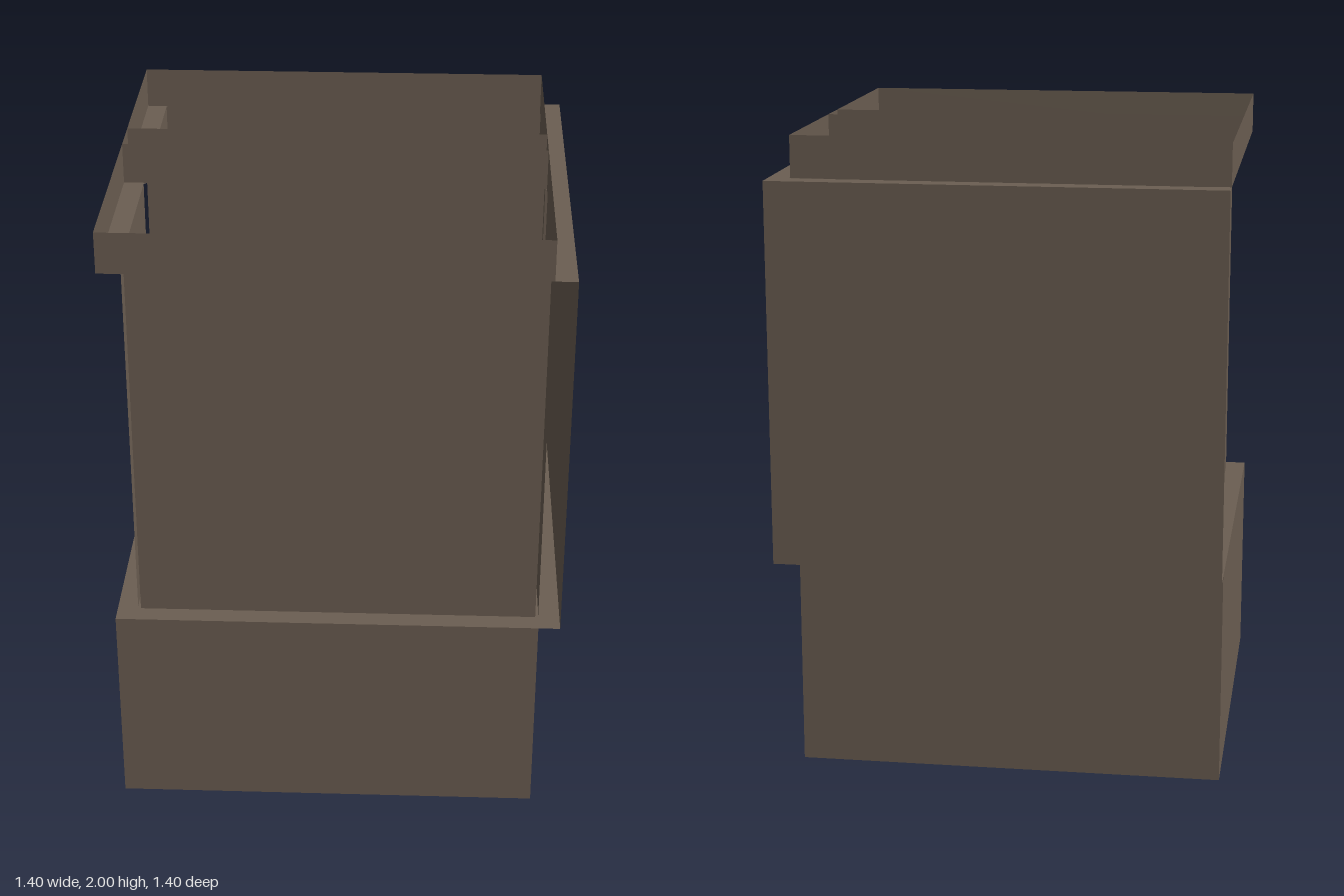
import * as THREE from 'three';

export function createModel() {
  const model = new THREE.Group();
  const brown = new THREE.MeshStandardMaterial({ color: 0x6b5e52, side: THREE.DoubleSide });
  brown.name = 'warm brown';

  const OUT = 0.698, IN = 0.63;              // outer limit and stepped-in side
  const Y1 = 0.67, Y2 = 1.87, TOP = 2;       // base top, ledge, rim
  const C = 0.01;                            // open corner of each flue

  const add = (parent, name, geometry) => {
    const mesh = new THREE.Mesh(geometry, brown);
    mesh.name = name;
    parent.add(mesh);
    return mesh;
  };
  const group = (name) => {
    const g = new THREE.Group();
    g.name = name;
    model.add(g);
    return g;
  };

  // Upright sheets facing along z or x
  const sheetZ = (parent, name, x0, x1, y0, y1, z, flip = false) => {
    const m = add(parent, name, new THREE.PlaneGeometry(x1 - x0, y1 - y0));
    m.position.set((x0 + x1) / 2, (y0 + y1) / 2, z);
    if (flip) m.rotation.y = Math.PI;
  };
  const sheetX = (parent, name, z0, z1, y0, y1, x, flip = false) => {
    const m = add(parent, name, new THREE.PlaneGeometry(z1 - z0, y1 - y0));
    m.position.set(x, (y0 + y1) / 2, (z0 + z1) / 2);
    m.rotation.y = flip ? -Math.PI / 2 : Math.PI / 2;
  };
  // Four sides of a shell
  const shell = (parent, name, x0, x1, z0, z1, y0, y1, gap = 0) => {
    sheetZ(parent, name + 'Front', x0 + gap, x1 - gap, y0, y1, z1);
    sheetZ(parent, name + 'Back', x0 + gap, x1 - gap, y0, y1, z0, true);
    sheetX(parent, name + 'Right', z0 + gap, z1 - gap, y0, y1, x1);
    sheetX(parent, name + 'Left', z0 + gap, z1 - gap, y0, y1, x0, true);
  };
  // Rectangle in x and z with cut corners
  const outline = (path, x0, x1, z0, z1, c = 0) => {
    const pts = [[x0 + c, z0], [x1 - c, z0], [x1, z0 + c], [x1, z1 - c],
      [x1 - c, z1], [x0 + c, z1], [x0, z1 - c], [x0, z0 + c]];
    path.setFromPoints(pts.filter((p, i) => c > 0 || i % 2 === 0)
      .map(([x, z]) => new THREE.Vector2(x, -z)));
    return path;
  };
  const plate = (parent, name, x0, x1, z0, z1, y, holes = []) => {
    const shape = outline(new THREE.Shape(), x0, x1, z0, z1);
    shape.holes = holes.map(([a, b]) => outline(new THREE.Path(), -0.635, 0.635, a, b, C));
    const m = add(parent, name, new THREE.ShapeGeometry(shape));
    m.rotation.x = -Math.PI / 2;
    m.position.y = y;
  };

  const flues = [[-0.635, -0.1], [0.03, 0.635]];

  // Plinth
  const base = group('base');
  shell(base, 'baseWall', -OUT, IN, -IN, OUT, 0, Y1);
  plate(base, 'baseBottom', -OUT, IN, -IN, OUT, 0);
  plate(base, 'lowerLedge', -OUT, OUT, -OUT, OUT, Y1);

  // Two upright flues with a gap between them
  flues.forEach(([z0, z1], i) => {
    shell(group(i ? 'frontFlue' : 'backFlue'), 'flueWall', -0.635, 0.632, z0, z1, Y1, Y2, C);
  });

  // Outer panels on the back and one side
  const panels = group('outerPanels');
  sheetZ(panels, 'backPanel', -OUT, OUT, Y1, Y2, -OUT, true);
  sheetX(panels, 'sidePanel', -OUT, OUT, Y1, Y2, OUT);

  // Ledge with flue openings, rim and the divider walls
  const top = group('top');
  plate(top, 'upperLedge', -OUT, OUT, -OUT, OUT, Y2, flues);
  shell(top, 'rim', -OUT, IN, -IN, OUT, Y2, TOP);
  sheetZ(top, 'dividerBack', -OUT, IN, Y2, TOP, -0.1, true);
  sheetZ(top, 'dividerFront', -OUT, IN, Y2, TOP, 0.03);

  return model;
}
